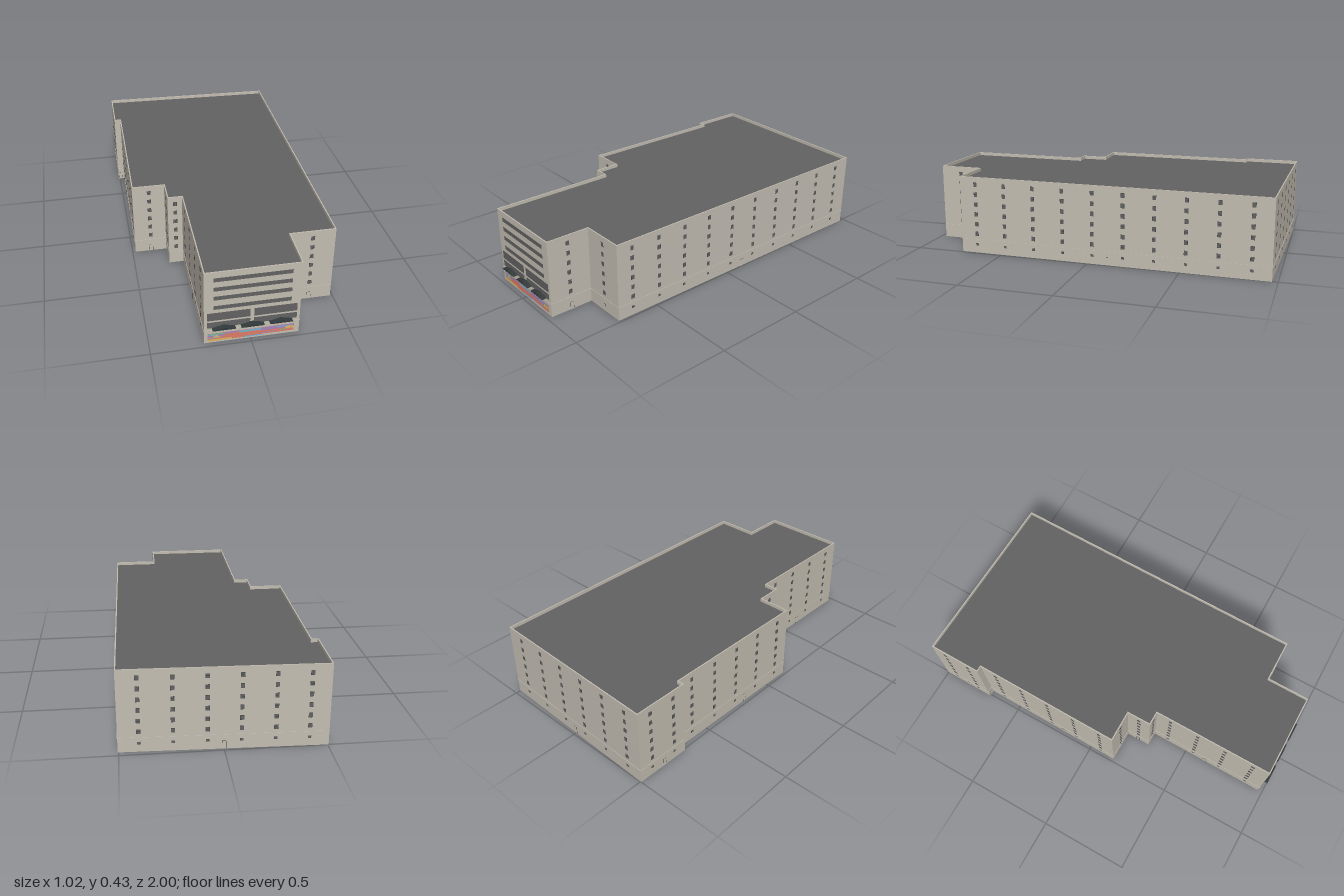
import * as THREE from 'three';

const mat = (name, color, double) => {
  const m = new THREE.MeshStandardMaterial({ color });
  m.name = name;
  if (double) m.side = THREE.DoubleSide;
  return m;
};

// Footprint corners as [x, z], starting at the back left of the plan
const PLAN = [
  [-0.505, -1.0], [0.505, -0.97], [0.487, 0.735], [0.249, 0.735], [0.246, 0.973], [-0.233, 0.973],
  [-0.228, 0.289], [-0.306, 0.289], [-0.306, 0.152], [-0.483, 0.152], [-0.473, -0.695], [-0.508, -0.695],
];
const HEIGHT = 0.428, ROOF = 0.41;

// Edge frame: start, direction and outward normal of wall i
function wall(i) {
  const p = PLAN[i], q = PLAN[(i + 1) % PLAN.length];
  const dx = q[0] - p[0], dz = q[1] - p[1], len = Math.hypot(dx, dz);
  return { p, dx, dz, nx: dz / len, nz: -dx / len };
}

// Footprint moved outward by d with mitred corners, in shape coordinates (x, -z)
function outline(d) {
  return PLAN.map(([x, z], i) => {
    const a = wall((i + PLAN.length - 1) % PLAN.length), b = wall(i);
    const k = d / (1 + a.nx * b.nx + a.nz * b.nz);
    return new THREE.Vector2(x + (a.nx + b.nx) * k, -(z + (a.nz + b.nz) * k));
  });
}

// Closed band following the footprint; the hole runs the other way round so its faces look inward
function ring(outer, inner, height) {
  const s = new THREE.Shape(outline(outer));
  s.holes.push(new THREE.Path(outline(inner).reverse()));
  return new THREE.ExtrudeGeometry(s, { depth: height, bevelEnabled: false }).rotateX(-Math.PI / 2);
}

export function createModel() {
  const model = new THREE.Group();
  model.name = 'building';
  const stone = mat('stone', 0xc4beb2, true);
  const grey = mat('roofGrey', 0x626262);
  const black = mat('darkMetal', 0x333a3b);
  const coral = mat('coral', 0xdf7b66);
  const purple = mat('purple', 0xa583ba);
  const blue = mat('blue', 0x76b2d8);
  const gold = mat('gold', 0xdcb45c);
  const green = mat('green', 0x76b894);

  const add = (parent, name, geo, material, x = 0, y = 0, z = 0) => {
    const m = new THREE.Mesh(geo, material);
    m.name = name;
    m.position.set(x, y, z);
    parent.add(m);
  };

  // Shell, open below, with the roof set down behind the parapet
  add(model, 'walls', ring(0, -0.006, HEIGHT), stone);
  add(model, 'ledge', ring(0.002, -0.003, 0.004), stone, 0, 0.073, 0);
  const roofGeo = new THREE.ShapeGeometry(new THREE.Shape(outline(-0.004))).rotateX(-Math.PI / 2);
  add(model, 'roof', roofGeo, grey, 0, ROOF, 0);
  add(model, 'ceiling', roofGeo, stone, 0, ROOF - 0.004, 0);

  // Group standing on wall i at plan coordinate c, facing outward
  const onWall = (i, c, name) => {
    const w = wall(i);
    const k = Math.abs(w.dx) > Math.abs(w.dz) ? (c - w.p[0]) / w.dx : (c - w.p[1]) / w.dz;
    const g = new THREE.Group();
    g.name = name;
    g.position.set(w.p[0] + w.dx * k, 0, w.p[1] + w.dz * k);
    g.rotation.y = Math.atan2(w.nx, w.nz);
    model.add(g);
    return g;
  };

  // Flat faces laid just in front of the wall
  const frameGeo = new THREE.PlaneGeometry(0.02, 0.0245);
  const paneGeo = new THREE.PlaneGeometry(0.0185, 0.011);
  const ventGeo = new THREE.PlaneGeometry(0.016, 0.0135);
  const ventPaneGeo = new THREE.PlaneGeometry(0.0145, 0.012);
  const doorFrameGeo = new THREE.PlaneGeometry(0.021, 0.043);
  const doorGeo = new THREE.PlaneGeometry(0.019, 0.042);
  const nicheGeo = new THREE.BoxGeometry(0.021, 0.043, 0.012);

  // One stack of windows over six floors, with an optional basement window
  const windowColumn = (i, c, basement) => {
    const g = onWall(i, c, 'windowColumn');
    for (let f = 0; f < 6; f++) {
      const y = 0.108 + f * 0.0554;
      add(g, 'windowFrame', frameGeo, black, 0, y, 0.0006);
      for (const s of [-1, 1]) add(g, 'windowPane', paneGeo, grey, 0, y + s * 0.006, 0.0012);
    }
    if (basement) {
      add(g, 'basementFrame', ventGeo, black, 0, 0.047, 0.0006);
      add(g, 'basementPane', ventPaneGeo, grey, 0, 0.047, 0.0012);
    }
  };
  const door = (i, c) => {
    const g = onWall(i, c, 'door');
    add(g, 'doorNiche', nicheGeo, stone, 0, 0.0215, -0.0065);
    add(g, 'doorFrame', doorFrameGeo, black, 0, 0.0215, 0.0006);
    add(g, 'doorLeaf', doorGeo, stone, 0, 0.021, 0.0012);
  };

  // Each row: wall, first position, step, count, basement windows
  for (const [i, start, step, count, basement] of [
    [0, -0.41, 0.163, 6, true],
    [1, -0.868, 0.168, 10, true],
    [2, 0.368, 0, 1, false],
    [3, 0.857, 0, 1, false],
    [5, 0.375, 0.168, 4, true],
    [6, -0.266, 0, 1, false],
    [7, 0.22, 0, 1, false],
    [8, -0.392, 0, 1, false],
    [9, -0.605, 0.168, 5, true],
    [11, -0.92, 0.15, 2, true],
  ]) for (let n = 0; n < count; n++) windowColumn(i, start + step * n, basement);

  for (const [i, c] of [[0, 0], [1, -0.115], [2, 0.368], [3, 0.852], [5, 0.62], [7, 0.22], [8, -0.392], [9, -0.19], [10, -0.492], [11, -0.84]]) door(i, c);

  // Entrance front
  const front = new THREE.Group();
  front.name = 'entranceFront';
  front.position.set(0.002, 0, 0.973);
  model.add(front);
  const plate = (name, x0, x1, y0, y1, material, out = 0.001) =>
    add(front, name, new THREE.PlaneGeometry(x1 - x0, y1 - y0), material, (x0 + x1) / 2, (y0 + y1) / 2, out);

  // Ribbon windows
  for (const y of [0.217, 0.274, 0.328, 0.383]) plate('ribbonWindow', -0.188, 0.197, y - 0.0115, y + 0.0115, grey);

  // Tall glazing in two bays and two tiers
  for (const [x0, x1] of [[-0.22, -0.006], [0.013, 0.229]]) {
    plate('upperGlazing', x0, x1, 0.138, 0.185, grey);
    plate('lowerGlazing', x0, x1, 0.093, 0.128, grey);
  }

  // Three pitched canopies
  const gable = new THREE.Shape([[-0.058, 0], [0.058, 0], [0, 0.014]].map(([x, y]) => new THREE.Vector2(x, y)));
  const canopyGeo = new THREE.ExtrudeGeometry(gable, { depth: 0.027, bevelEnabled: false });
  for (const x of [-0.139, 0.004, 0.147]) add(front, 'canopy', canopyGeo, black, x, 0.093, 0);

  // Painted mural, laid in thin layers
  plate('muralBase', -0.217, 0.217, 0.01, 0.057, coral);
  for (const [x0, x1, y0, y1, m] of [
    [-0.217, -0.095, 0.010, 0.021, gold],
    [-0.217, -0.13, 0.036, 0.049, purple],
    [-0.217, -0.13, 0.049, 0.057, green],
    [-0.205, -0.165, 0.044, 0.052, blue],
    [-0.217, -0.15, 0.028, 0.033, blue],
    [-0.13, -0.06, 0.047, 0.057, purple],
    [-0.06, 0.05, 0.044, 0.057, blue],
    [-0.045, 0.005, 0.050, 0.054, green],
    [-0.035, 0.055, 0.010, 0.017, blue],
    [0.05, 0.217, 0.037, 0.057, purple],
    [0.055, 0.217, 0.010, 0.016, stone],
    [0.04, 0.13, 0.021, 0.026, purple],
    [0.13, 0.2, 0.047, 0.052, blue],
    [0.145, 0.18, 0.026, 0.032, green],
    [0.175, 0.217, 0.031, 0.046, gold],
  ]) plate('muralPatch', x0, x1, y0, y1, m, m === blue || m === green ? 0.003 : 0.002);
  const peak = new THREE.Shape([[-0.019, 0], [0.019, 0], [0, 0.018]].map(([x, y]) => new THREE.Vector2(x, y)));
  add(front, 'muralTriangle', new THREE.ShapeGeometry(peak), gold, -0.174, 0.032, 0.004);

  return model;
}
